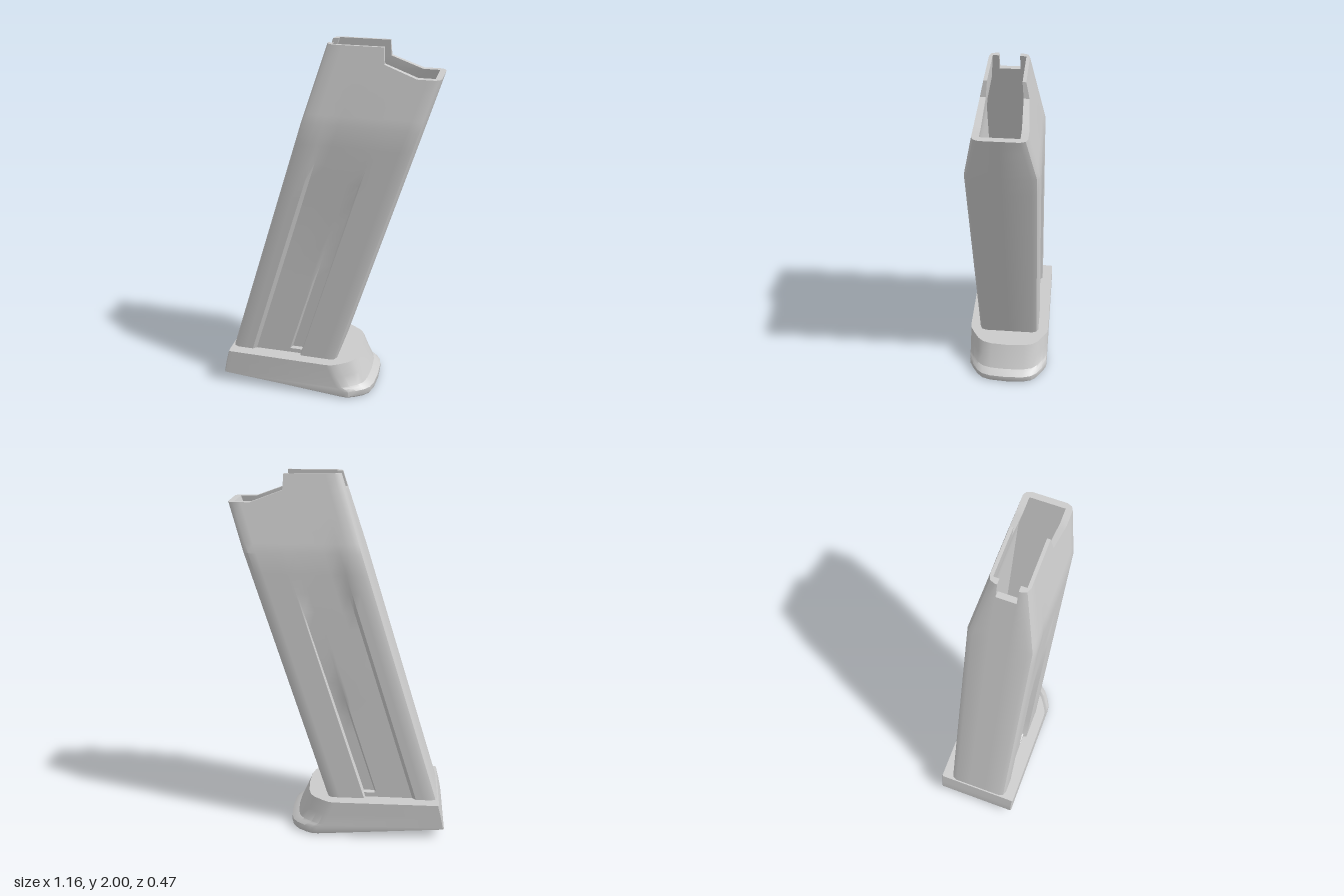
import * as THREE from 'three';
import { toCreasedNormals } from 'three/addons/utils/BufferGeometryUtils.js';

const { clamp, lerp } = THREE.MathUtils;
const V = (x, y, z) => new THREE.Vector3(x, y, z);

// Skin between closed rings of points; collapsed triangles are dropped
function loft(rings, crease = 0.5) {
  const pos = [];
  const tri = (a, b, c) => {
    if (new THREE.Triangle(a, b, c).getArea() < 1e-8) return;
    for (const p of [a, b, c]) pos.push(p.x, p.y, p.z);
  };
  for (let j = 0; j < rings.length - 1; j++) {
    const lo = rings[j], hi = rings[j + 1], n = lo.length;
    for (let i = 0; i < n; i++) {
      const k = (i + 1) % n;
      tri(lo[i], lo[k], hi[k]);
      tri(lo[i], hi[k], hi[i]);
    }
  }
  const g = new THREE.BufferGeometry();
  g.setAttribute('position', new THREE.Float32BufferAttribute(pos, 3));
  return toCreasedNormals(g, crease);
}

// ---- Hollow slanted body ----
const backX = y => -0.61 + 0.305 * y;
const halfWidth = y => Math.min(0.175, 0.175 - (y - 1.61) * 0.2);

// Height of the stepped mouth, by distance u from the back edge
function mouthY(u) {
  if (u <= 0.29) return 2;
  if (u <= 0.32) return lerp(2, 1.92, (u - 0.29) / 0.03);
  return Math.max(1.86, lerp(1.92, 1.86, (u - 0.32) / 0.183));
}

// Shallow side channel that fades upward, with a deeper slot low down
function channelDepth(u, y) {
  if (u < 0.125 || u > 0.411) return 0;
  const left = 0.018 * clamp((1.75 - y) / 0.7, 0, 1);
  const right = 0.022 * clamp((1.4 - y) / 0.6, 0, 1);
  let d = lerp(left, right, (u - 0.125) / 0.285);
  if (u > 0.34 && y > 0.24) d += 0.016 * clamp((1.05 - y) / 0.8, 0, 1);
  return d;
}

function bodyGeometry() {
  // Columns of one half: fixed z on the back and front, inset from the width elsewhere
  const half = [
    { u: 0, z: 0, top: 1.92 }, { u: 0, z: 0.05, top: 1.92 }, { u: 0, z: 0.0502 },
    { u: 0, inset: 0.035 }, { u: 0.01, inset: 0.01 }, { u: 0.035, inset: 0 },
    ...[0.08, 0.12, 0.14, 0.2, 0.27, 0.29, 0.32, 0.335, 0.345, 0.405, 0.412, 0.46, 0.503, 0.55, 0.59]
      .map(u => ({ u, inset: 0 })),
    { u: 0.61, inset: 0.01 }, { u: 0.62, inset: 0.035 }, { u: 0.62, z: 0 },
  ];
  const columns = [
    ...half.map(c => ({ ...c, side: 1 })),
    ...half.slice(1, -1).reverse().map(c => ({ ...c, side: -1 })),
  ];
  const heights = [0.12, 0.21, 0.238, 0.246];
  for (let y = 0.4; y < 1.6; y += 0.1) heights.push(y);
  heights.push(1.61, 1.66, 1.72, 1.79, 1.86, 1.92, 2);

  const ring = (row, inner) => columns.map(c => {
    const y = Math.min(row, c.top ?? mouthY(c.u));
    const w = halfWidth(y);
    let u = c.u;
    let z = c.z ?? w - c.inset - channelDepth(u, y);
    if (inner) {
      const wall = lerp(0.034, 0.017, clamp((y - 1.86) / 0.14, 0, 1));
      u = clamp(u, 0.03, 0.588);
      z = Math.min(z, w - wall, 0.125);
    }
    return V(backX(y) + u, y, c.side * z);
  });
  return loft([
    ...heights.map(y => ring(y, false)),
    ...heights.slice().reverse().map(y => ring(y, true)),
  ]);
}

// ---- Base plate with a flared front lip and a hollow underside ----
const soleY = x => Math.max(0, 0.0163 - 0.08 * x);

function baseOutline(xb, xf, w, y) {
  const half = [
    [xb, 0], [xb, w - 0.006], [xb + 0.006, w], [xf - 0.16, w], [xf - 0.13, w * 0.985],
    [xf - 0.09, w * 0.89], [xf - 0.045, w * 0.76], [xf - 0.02, w * 0.63],
    [xf - 0.006, w * 0.42], [xf, 0],
  ];
  return [...half, ...half.slice(1, -1).reverse().map(([x, z]) => [x, -z])]
    .map(([x, z]) => V(x, Math.max(y, soleY(x)), z));
}

function baseGeometry() {
  const w = 0.234;
  const pole = (x, y) => baseOutline(0, 0, 0, y).map(() => V(x, y, 0));
  return loft([
    // Recess, from its ceiling out to the rim
    pole(-0.15, 0.1),
    baseOutline(-0.54, 0.12, w - 0.06, 0.1),
    baseOutline(-0.54, 0.12, w - 0.06, 0.065),
    baseOutline(-0.548, 0.215, w - 0.035, 0.065),
    baseOutline(-0.548, 0.215, w - 0.035, 0),
    // Outer skin, from the sole up
    baseOutline(-0.575, 0.285, w - 0.004, 0),
    baseOutline(-0.583, 0.292, w, 0.012),
    baseOutline(-0.585, 0.292, w, 0.045),
    baseOutline(-0.585, 0.272, w, 0.06),
    baseOutline(-0.585, 0.252, w, 0.07),
    baseOutline(-0.572, 0.222, w, 0.135),
    baseOutline(-0.553, 0.19, w, 0.212),
    pole(-0.15, 0.212),
  ], 0.6);
}

// Ring boss with a shallow button inside, under the base
function bossGeometry() {
  const profile = [[0.095, 0.102], [0.085, 0.062], [0.065, 0.062], [0.06, 0.085], [0.048, 0.085], [0.045, 0.075], [0, 0.075]];
  const g = new THREE.LatheGeometry(profile.map(([r, y]) => new THREE.Vector2(r, y)).reverse(), 32);
  return toCreasedNormals(g, 0.5);
}

export function createModel() {
  const model = new THREE.Group();
  model.name = 'magazine';
  const material = new THREE.MeshStandardMaterial({ color: 0xcccccc, side: THREE.DoubleSide });
  const add = (name, geometry) => {
    const mesh = new THREE.Mesh(geometry, material);
    mesh.name = name;
    model.add(mesh);
    return mesh;
  };
  add('body', bodyGeometry());
  add('basePlate', baseGeometry());
  add('baseBoss', bossGeometry()).position.x = -0.14;
  return model;
}
